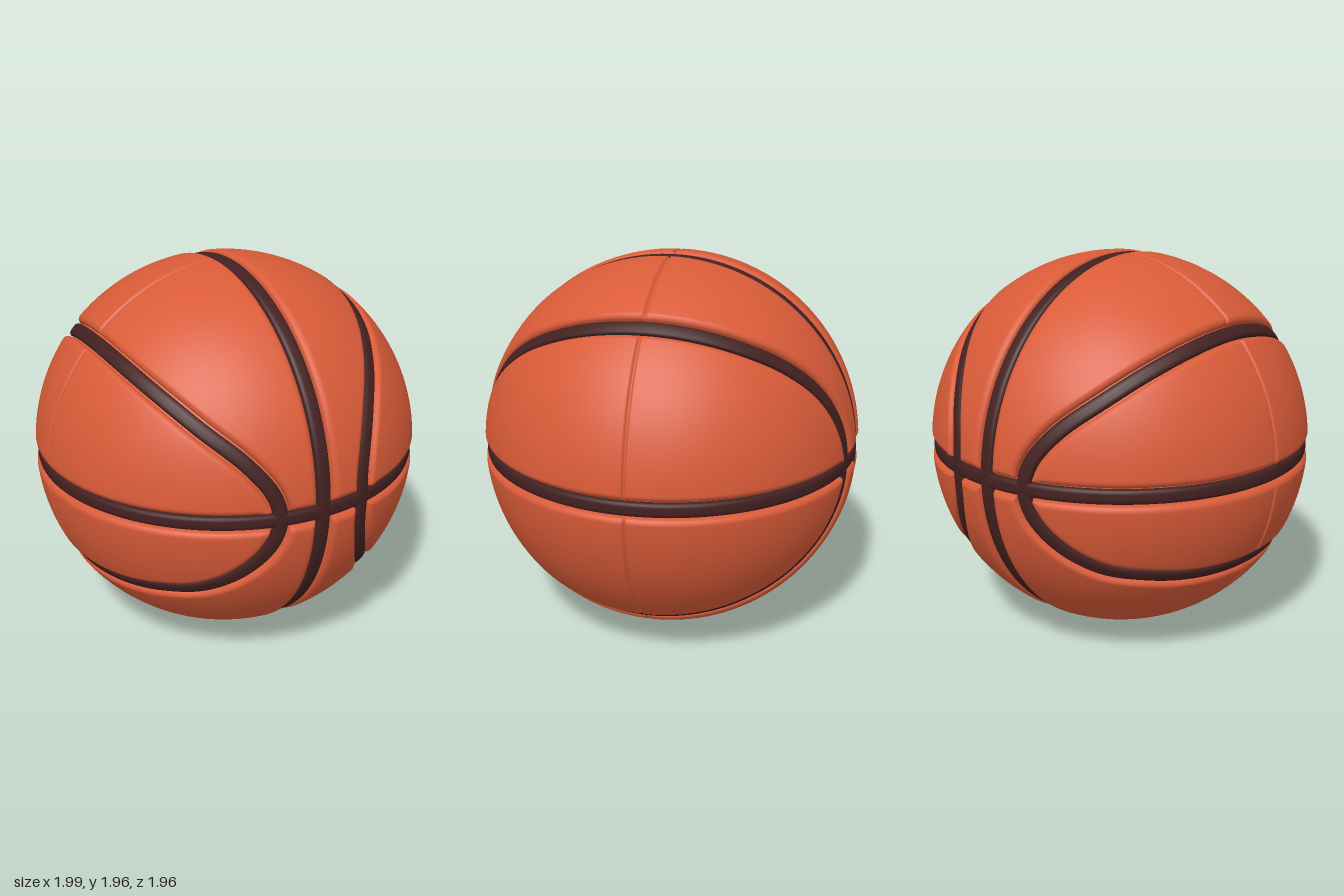
import * as THREE from 'three';

const CENTRE_Y = 0.98;
const SIZE = new THREE.Vector3(1, 0.981, 0.986); // half axes of the ball
const GROOVE = 0.047;                            // half width of the channels
const RIB = 0.037;                               // half width of the dark seams

const orange = new THREE.MeshStandardMaterial({ color: 0xd95b38 });
orange.name = 'orange leather';
const dark = new THREE.MeshStandardMaterial({ color: 0x432020 });
dark.name = 'dark seam rubber';

// Seam paths in the front plane, from the equator out to the rim
const SEAMS = [
  { name: 'rightSeam',
    top: [[-0.225, 0.98], [-0.257, 1.11], [-0.364, 1.262], [-0.524, 1.417], [-0.64, 1.54], [-0.73, 1.65]],
    bottom: [[-0.225, 0.98], [-0.257, 0.845], [-0.364, 0.70], [-0.524, 0.578], [-0.684, 0.53], [-0.86, 0.508]] },
  { name: 'middleSeam',
    top: [[0, 0.98], [0, 1.3], [0, 1.65], [0, 1.96]],
    bottom: [[0, 0.98], [0, 0.66], [0, 0.31], [0, 0]] },
  { name: 'leftSeam',
    top: [[0.243, 0.98], [0.253, 1.14], [0.34, 1.38], [0.465, 1.567], [0.54, 1.655], [0.61, 1.74]],
    bottom: [[0.243, 0.98], [0.25, 0.83], [0.315, 0.63], [0.43, 0.445], [0.52, 0.337], [0.61, 0.235]] },
];

// Lift front-plane points onto the unit sphere; the last one lands on the rim
function lift(points) {
  return points.map(([x, y], i) => {
    const v = new THREE.Vector3(x, (y - CENTRE_Y) / SIZE.y, 0);
    if (i < points.length - 1) v.z = Math.sqrt(Math.max(0, 1 - v.lengthSq()));
    return v.normalize();
  });
}

// Closed loop: front, over the top, down the back and under the bottom
function seamLoop({ top, bottom }) {
  const back = (v) => new THREE.Vector3(v.x, v.y, -v.z);
  const t = lift(top), b = lift(bottom);
  return new THREE.CatmullRomCurve3([
    ...t, ...t.slice(0, -1).reverse().map(back),
    ...b.slice(1).map(back), ...b.slice(1, -1).reverse(),
  ], true);
}

// Points beside a loop, shifted across the sphere (positive is toward +x)
function offsetLoop(loop, shift, count) {
  const out = [];
  for (let i = 0; i < count; i++) {
    const p = loop.getPointAt(i / count).normalize();
    const side = loop.getTangentAt(i / count).cross(p).normalize();
    out.push(p.multiplyScalar(Math.cos(shift)).addScaledVector(side, Math.sin(shift)).normalize());
  }
  return out;
}

// Panel edge along a seam, front to back, clipped beside the equator
function seamEdge(loop, shift, sign) {
  const pts = offsetLoop(loop, shift, 400).filter((p) => p.y * sign > GROOVE);
  if (sign < 0) pts.reverse();
  const clip = (p) => p.clone().setY(sign * GROOVE);
  const first = clip(pts[0]), last = clip(pts[pts.length - 1]);
  const curve = new THREE.CatmullRomCurve3([first, ...pts.slice(1, -1), last]);
  curve.arcLengthDivisions = 800;
  return (w) => curve.getPointAt(w).normalize();
}

// Panel edge along the equator, from the front corner of a seam edge to its back corner
function equatorEdge(edge, side, sign) {
  const a = edge(0), r = Math.sqrt(1 - GROOVE * GROOVE);
  const from = Math.atan2(a.x, a.z), to = side * Math.PI - from;
  return (w) => {
    const phi = from + (to - from) * w;
    return new THREE.Vector3(r * Math.sin(phi), sign * GROOVE, r * Math.cos(phi));
  };
}

// Grid of unit-sphere points (already scaled by height) to a smooth mesh
function gridMesh(name, rows, material, flip = false, closed = false) {
  const pos = [], index = [], n = rows[0].length;
  for (const row of rows) for (const p of row) pos.push(p.x * SIZE.x, p.y * SIZE.y, p.z * SIZE.z);
  const last = closed ? rows.length : rows.length - 1;
  for (let i = 0; i < last; i++) {
    for (let j = 0; j < n - 1; j++) {
      const a = i * n + j, b = a + 1, c = ((i + 1) % rows.length) * n + j, d = c + 1;
      if (flip) index.push(a, c, b, b, c, d);
      else index.push(a, b, c, b, d, c);
    }
  }
  const g = new THREE.BufferGeometry();
  g.setAttribute('position', new THREE.Float32BufferAttribute(pos, 3));
  g.setIndex(index);
  g.computeVertexNormals();
  const mesh = new THREE.Mesh(g, material);
  mesh.name = name;
  return mesh;
}

// Rounded rim of a panel: [distance from edge, height]
const RIM = [[0, 0.95], [0, 0.98], [0.008, 0.992], [0.022, 0.999], [0.032, 1]];

// Stops along a panel, with a fine crease halfway
function lengthStops() {
  const half = RIM.map(([d, h]) => [d / 3, h]);
  for (let i = 1; i <= 30; i++) half.push([0.011 + (0.48 - 0.011) * i / 30, 1]);
  half.push([0.494, 1], [0.4965, 0.999], [0.498, 0.99]);
  return [...half, [0.5, 0.984], ...half.map(([w, h]) => [1 - w, h]).reverse()];
}

function panel(name, edgeA, edgeB, sign) {
  const rows = lengthStops().map(([w, hw]) => {
    const a = edgeA(w), b = edgeB(w);
    const f = Math.min(1 / Math.max(a.angleTo(b), 1e-6), 12);
    const left = RIM.map(([d, h]) => [d * f, h]);
    const s0 = left[left.length - 1][0], inner = [];
    for (let k = 1; k < 20; k++) inner.push([s0 + (1 - 2 * s0) * k / 20, 1]);
    const stops = [...left, ...inner, ...left.map(([s, h]) => [1 - s, h]).reverse()];
    return stops.map(([s, h]) => a.clone().lerp(b, s).normalize().multiplyScalar(Math.min(h, hw)));
  });
  return gridMesh(name, rows, orange, sign < 0);
}

// Raised strip with softly rounded edges following a loop
function rib(name, loop) {
  const section = [[-1, 0.95], [-1, 0.978], [-0.8, 0.987], [-0.4, 0.99], [0.4, 0.99], [0.8, 0.987], [1, 0.978], [1, 0.95]];
  const lines = section.map(([k, h]) => offsetLoop(loop, k * RIB, 200).map((p) => p.multiplyScalar(h)));
  return gridMesh(name, lines[0].map((_, i) => lines.map((l) => l[i])), dark, false, true);
}

export function createModel() {
  const ball = new THREE.Group();
  ball.name = 'ball';

  // Floor of the channels
  const core = new THREE.Mesh(new THREE.SphereGeometry(0.962, 96, 64), orange);
  core.scale.copy(SIZE);
  core.name = 'core';
  ball.add(core);

  // Dark seams
  const loops = SEAMS.map(seamLoop);
  loops.forEach((loop, i) => ball.add(rib(SEAMS[i].name, loop)));
  const ring = [];
  for (let i = 0; i < 32; i++) {
    const a = i / 32 * Math.PI * 2;
    ring.push(new THREE.Vector3(Math.sin(a), 0, Math.cos(a)));
  }
  ball.add(rib('equatorSeam', new THREE.CatmullRomCurve3(ring, true)));

  // Four panels above and four below the equator
  for (const sign of [1, -1]) {
    const where = sign > 0 ? 'upper' : 'lower';
    const before = loops.map((l) => seamEdge(l, -GROOVE, sign));
    const after = loops.map((l) => seamEdge(l, GROOVE, sign));
    ball.add(
      panel(where + 'RightOuterPanel', equatorEdge(before[0], -1, sign), before[0], sign),
      panel(where + 'RightInnerPanel', after[0], before[1], sign),
      panel(where + 'LeftInnerPanel', after[1], before[2], sign),
      panel(where + 'LeftOuterPanel', after[2], equatorEdge(after[2], 1, sign), sign),
    );
  }

  ball.position.y = CENTRE_Y;
  const model = new THREE.Group();
  model.name = 'basketball';
  model.add(ball);
  return model;
}
